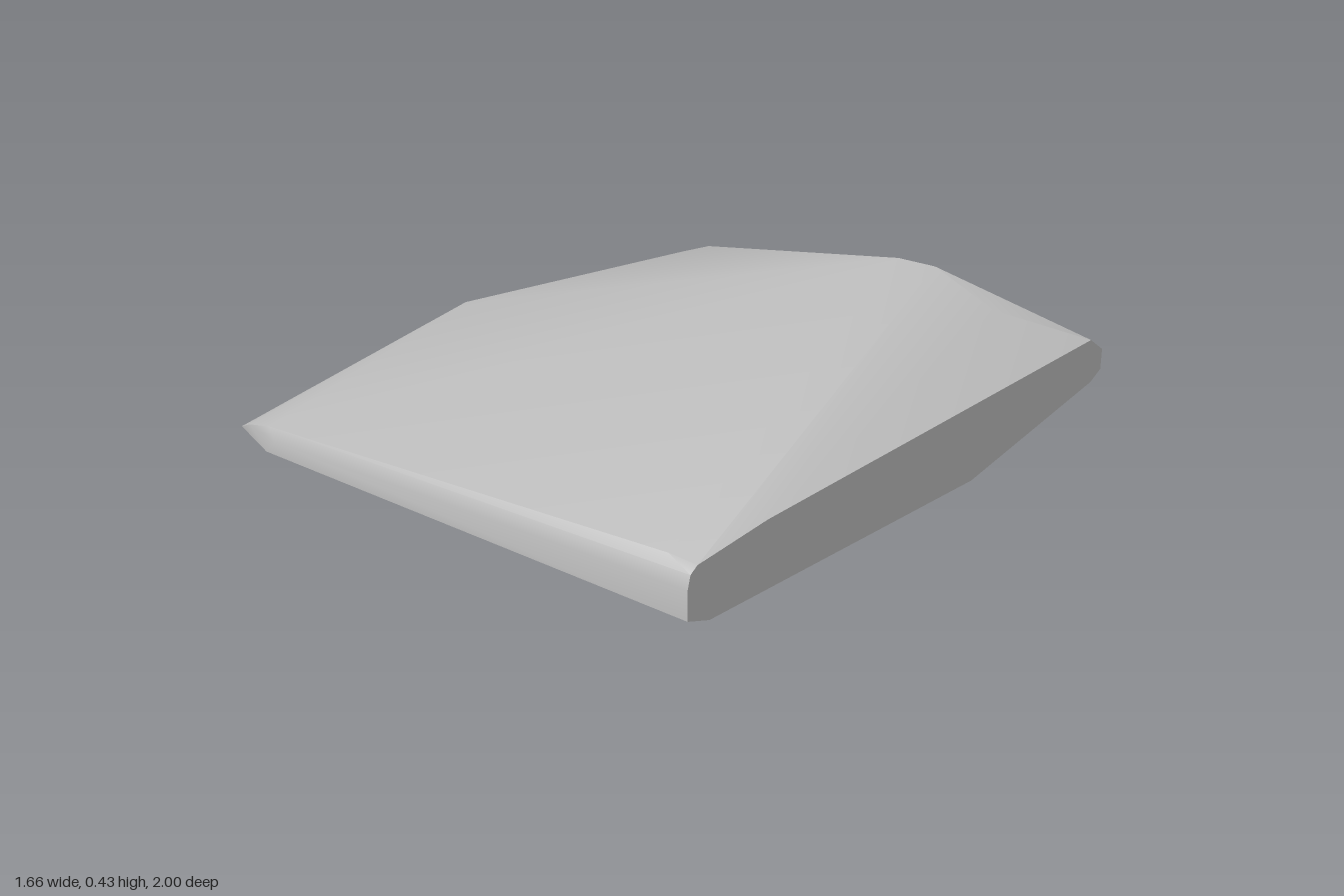
import * as THREE from 'three';
import { ConvexGeometry } from 'three/addons/geometries/ConvexGeometry.js';
import { toCreasedNormals } from 'three/addons/utils/BufferGeometryUtils.js';

export function createModel() {
  const group = new THREE.Group();
  group.name = 'wedgeSlab';
  const stone = new THREE.MeshStandardMaterial({ color: 0xbfbfbf });
  stone.name = 'pale grey';

  // Flat cut end at x = 0.83, as (z, y) pairs round its outline
  const cutEnd = [
    [1, 0.1], [1, 0.18], [0.99, 0.215], [0.965, 0.23], [0.7, 0.243], [-0.92, 0.222],
    [-1, 0.17], [-1, 0.105], [-0.94, 0.08], [-0.25, 0], [0.92, 0.07],
  ].map(([z, y]) => [0.83, y, z]);

  // Short peak and the shoulder falling from it to the cut end
  const crown = [[0.29, 0.43, -0.68], [0.42, 0.43, -0.68], [0.64, 0.345, -0.66], [0.75, 0.237, 0.97]];

  // Rounded left edge, highest near its middle
  const leftEdge = [
    [-0.76, 0.275, 0.13], [-0.825, 0.24, 0.08], [-0.83, 0.18, 0.07],
    [-0.815, 0.12, 0.96], [-0.815, 0.12, -0.9],
  ];

  // Front and back rims running into the left corners
  const frontRim = [
    [-0.66, 0.1, 1], [-0.62, 0.14, 1], [-0.66, 0.17, 0.985], [-0.75, 0.15, 0.98], [-0.6, 0.075, 0.93],
  ];
  const backRim = [
    [-0.74, 0.105, -1], [-0.73, 0.16, -1], [-0.66, 0.21, -0.95], [-0.76, 0.175, -0.93], [-0.66, 0.08, -0.94],
  ];

  // Flat triangular foot
  const foot = [[-0.57, 0, 0.4], [-0.35, 0, -0.5]];

  const points = [...cutEnd, ...crown, ...leftEdge, ...frontRim, ...backRim, ...foot]
    .map((p) => new THREE.Vector3(...p));
  const slab = new THREE.Mesh(toCreasedNormals(new ConvexGeometry(points), 0.5), stone);
  slab.name = 'slab';
  group.add(slab);
  return group;
}
